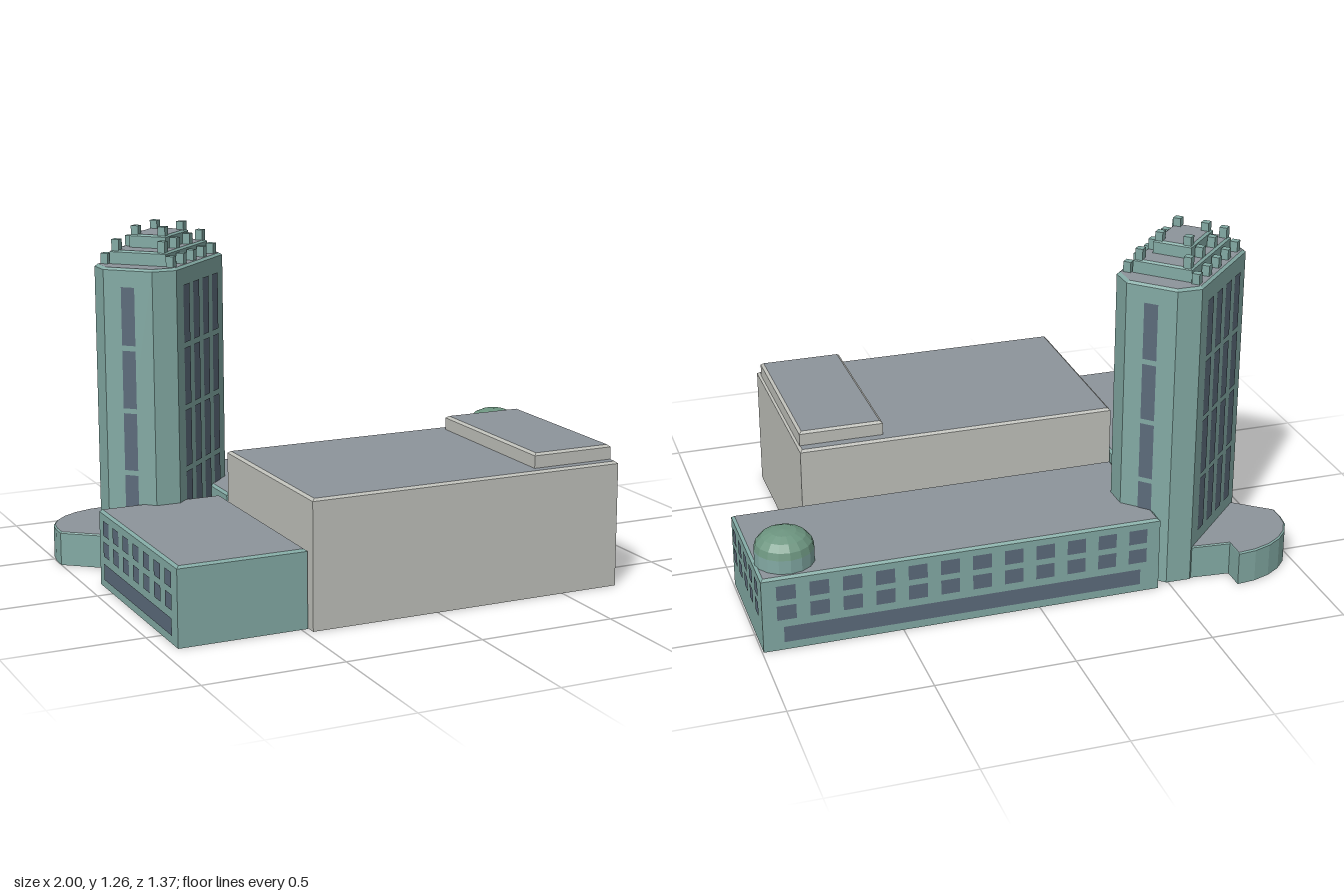
import * as THREE from 'three';

const mat = (color) => new THREE.MeshStandardMaterial({ color, flatShading: true, side: THREE.DoubleSide });
const TEAL = mat(0x83aaa4), ROOF = mat(0x8d949b), GLASS = mat(0x5c6b7b), STONE = mat(0xbfc0ba), GREEN = mat(0x6d9580);

function addMesh(parent, name, geometry, material) {
  const m = new THREE.Mesh(geometry, material);
  m.name = name;
  parent.add(m);
  return m;
}

// Open-bottomed block: walls over an [x, z] outline, a small sloped rim and a flat roof
function block(parent, name, outline, y0, y1, wallMat, rim = 0.01) {
  const g = new THREE.Group();
  g.name = name;
  parent.add(g);
  let pts = outline.map(([x, z]) => new THREE.Vector2(x, -z));
  if (THREE.ShapeUtils.isClockWise(pts)) pts = pts.reverse();
  const box = new THREE.Box2().setFromPoints(pts);
  const c = box.getCenter(new THREE.Vector2()), s = box.getSize(new THREE.Vector2());
  const scale = new THREE.Vector2(1 - 2 * rim / s.x, 1 - 2 * rim / s.y);
  const inner = pts.map((p) => p.clone().sub(c).multiply(scale).add(c));
  const rings = [[pts, y0], [pts, y1 - rim * 0.8], [inner, y1]];
  const pos = [];
  for (let r = 0; r < 2; r++) {
    const [a, ya] = rings[r], [b, yb] = rings[r + 1];
    for (let i = 0; i < a.length; i++) {
      const j = (i + 1) % a.length;
      const A = [a[i].x, ya, -a[i].y], B = [a[j].x, ya, -a[j].y];
      const C = [b[j].x, yb, -b[j].y], D = [b[i].x, yb, -b[i].y];
      pos.push(...A, ...B, ...C, ...A, ...C, ...D);
    }
  }
  const walls = new THREE.BufferGeometry();
  walls.setAttribute('position', new THREE.Float32BufferAttribute(pos, 3));
  walls.computeVertexNormals();
  addMesh(g, name + 'Walls', walls, wallMat);
  const top = new THREE.ShapeGeometry(new THREE.Shape(inner)).rotateX(-Math.PI / 2).translate(0, y1, 0);
  addMesh(g, name + 'Roof', top, ROOF);
  return g;
}

const rect = (x0, x1, z0, z1) => [[x0, z0], [x1, z0], [x1, z1], [x0, z1]];

// Grid of flush panes on a wall centred at (x, z) and facing the angle ry
function panes(parent, name, x, z, ry, cols, pitch, rows, w, h) {
  const g = new THREE.Group();
  g.name = name;
  g.position.set(x, 0, z);
  g.rotation.y = ry;
  parent.add(g);
  const pane = new THREE.PlaneGeometry(w, h);
  for (const y of rows) {
    for (let i = 0; i < cols; i++) {
      addMesh(g, 'window', pane, GLASS).position.set((i - (cols - 1) / 2) * pitch, y, 0.003);
    }
  }
}

function tower() {
  const t = new THREE.Group();
  t.name = 'tower';
  t.position.set(-0.617, 0, -0.34);
  t.rotation.y = Math.PI / 4;
  const L = 0.27, W = 0.16, l = 0.207, w = 0.095;
  block(t, 'shaft', [[L, w], [l, W], [-l, W], [-L, w], [-L, -w], [-l, -W], [l, -W], [L, -w]], 0, 1.137, TEAL);
  block(t, 'lowerCrown', rect(-0.185, 0.185, -0.11, 0.11), 1.13, 1.187, TEAL, 0.008);
  block(t, 'upperCrown', rect(-0.1, 0.1, -0.072, 0.072), 1.18, 1.235, TEAL, 0.008);

  // Tall windows: four columns on the long faces, one on each end
  const rows = [0.28, 0.508, 0.736, 0.965];
  for (const s of [1, -1]) {
    panes(t, 'longFaceWindows', 0, s * W, s > 0 ? 0 : Math.PI, 4, 0.0855, rows, 0.053, 0.21);
    panes(t, 'endWindows', s * L, 0, s * Math.PI / 2, 1, 0, rows, 0.052, 0.21);
  }

  // Roof posts, one tier after another
  const post = (x, z, y0, y1) =>
    addMesh(t, 'roofPost', new THREE.BoxGeometry(0.028, y1 - y0, 0.028), TEAL).position.set(x, (y0 + y1) / 2, z);
  for (const sz of [1, -1]) {
    for (let i = -2; i <= 2; i++) post(i * 0.09, sz * 0.128, 1.125, 1.175);
    for (const sx of [1, -1]) {
      post(sx * 0.167, sz * 0.09, 1.18, 1.225);
      post(sx * 0.057, sz * 0.088, 1.18, 1.225);
      post(sx * 0.081, sz * 0.053, 1.23, 1.265);
    }
  }
  return t;
}

export function createModel() {
  const model = new THREE.Group();
  model.name = 'buildingComplex';

  // Low wings
  block(model, 'backWing', rect(-0.45, 0.995, -0.625, -0.13), 0, 0.28, TEAL);
  block(model, 'sideWing', rect(-0.943, -0.477, -0.127, 0.65), 0, 0.28, TEAL);
  const rows = [0.145, 0.222];
  panes(model, 'backWingEndWindows', 0.995, -0.375, Math.PI / 2, 5, 0.09, rows, 0.05, 0.055);
  panes(model, 'backWingRearWindows', 0.272, -0.625, Math.PI, 12, 0.116, rows, 0.068, 0.055);
  panes(model, 'backWingRearStrip', 0.272, -0.625, Math.PI, 1, 0, [0.06], 1.3, 0.06);
  panes(model, 'sideWingWindows', -0.943, 0.262, -Math.PI / 2, 7, 0.104, rows, 0.06, 0.055);
  panes(model, 'sideWingStrip', -0.943, 0.262, -Math.PI / 2, 1, 0, [0.06], 0.68, 0.06);

  // Main hall with a raised roof section
  block(model, 'hall', rect(-0.473, 0.72, -0.06, 0.685), 0, 0.46, STONE);
  block(model, 'hallRoofBox', rect(0.4, 0.712, -0.017, 0.645), 0.45, 0.513, STONE);

  // Low curved annex behind the tower
  const annex = [[-0.7, -0.34], [-0.82, -0.27], [-1, -0.415], [-1, -0.47]];
  for (let i = 1; i <= 6; i++) {
    const a = (i / 6) * Math.PI / 2;
    annex.push([-0.735 - 0.265 * Math.cos(a), -0.47 - 0.218 * Math.sin(a)]);
  }
  annex.push([-0.735, -0.605], [-0.57, -0.59]);
  block(model, 'annex', annex, 0, 0.127, TEAL, 0.006);

  // Domed turret on the end of the back wing
  const turret = new THREE.Group();
  turret.name = 'turret';
  turret.position.set(0.885, 0, -0.505);
  model.add(turret);
  addMesh(turret, 'drum', new THREE.CylinderGeometry(0.105, 0.105, 0.325, 16), TEAL).position.y = 0.1675;
  const profile = [[0.105, 0.33], [0.098, 0.355], [0.077, 0.378], [0.045, 0.392], [0, 0.397]];
  addMesh(turret, 'dome', new THREE.LatheGeometry(profile.map((p) => new THREE.Vector2(...p)), 16), GREEN);

  model.add(tower());
  return model;
}
